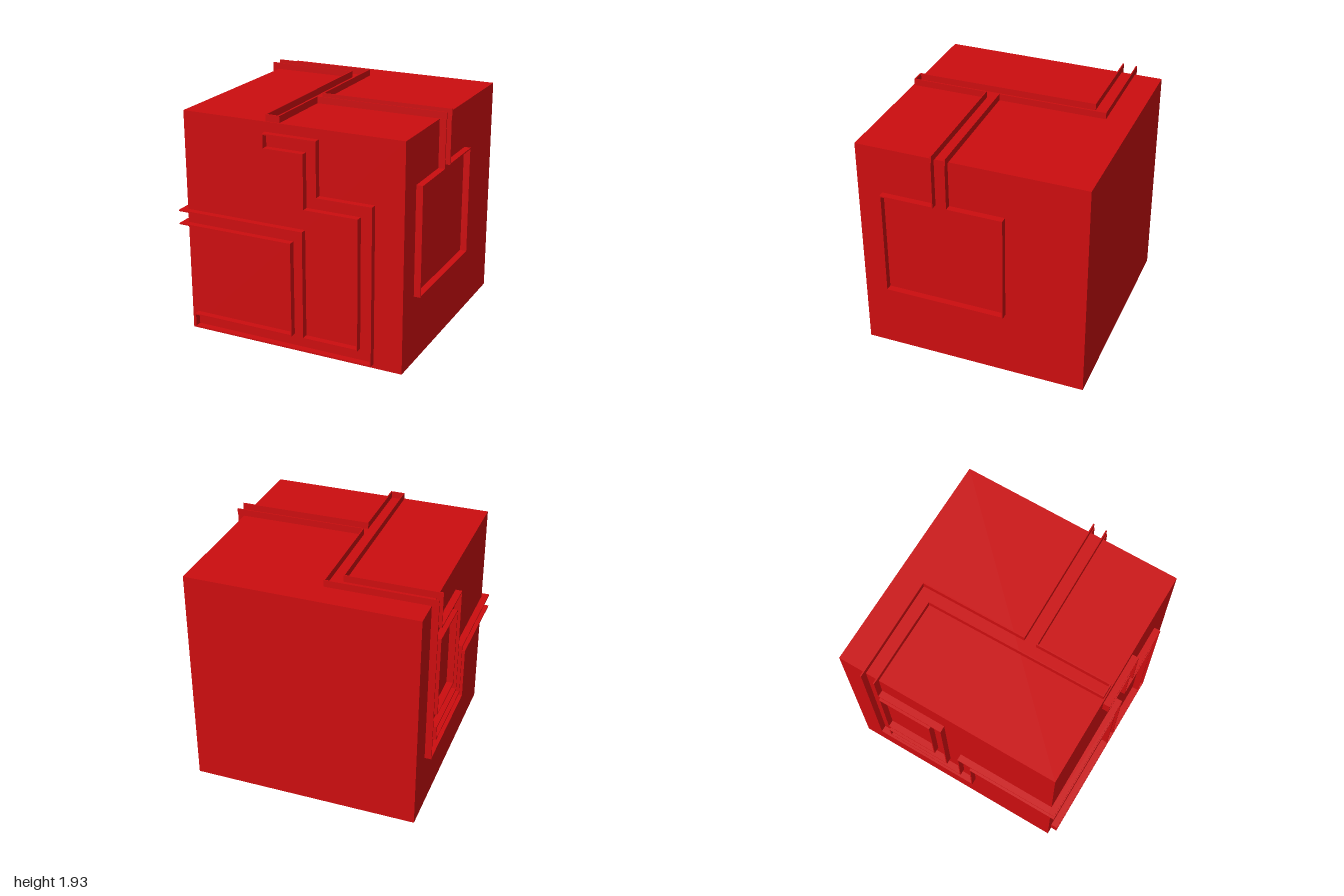
import * as THREE from 'three';

const T = 0.01;      // wall thickness
const H = 0.055;     // wall height above the cube face
const W = 1.89, CH = 1.875, ZF = 0.915, ZB = -0.975;

// Offset a polyline sideways by d, with mitred corners
function offset(pts, d, closed) {
  const n = pts.length;
  const normal = (a, b) => new THREE.Vector2(a.y - b.y, b.x - a.x).normalize();
  return pts.map((p, i) => {
    const prev = closed || i > 0 ? pts[(i + n - 1) % n] : null;
    const next = closed || i < n - 1 ? pts[(i + 1) % n] : null;
    const n1 = prev ? normal(prev, p) : normal(p, next);
    const n2 = next ? normal(p, next) : n1;
    const m = n1.clone().add(n2).normalize();
    return p.clone().addScaledVector(m, d / m.dot(n1));
  });
}

// Thin upright wall following a path on a face
function wallGeometry(path, closed) {
  const pts = path.map(([x, y]) => new THREE.Vector2(x, y));
  const a = offset(pts, T / 2, closed), b = offset(pts, -T / 2, closed);
  let shape;
  if (closed) {
    const [outer, inner] = THREE.ShapeUtils.area(pts) > 0 ? [b, a] : [a, b];
    shape = new THREE.Shape(outer);
    shape.holes.push(new THREE.Path(inner));
  } else {
    shape = new THREE.Shape([...a, ...b.reverse()]);
  }
  return new THREE.ExtrudeGeometry(shape, { depth: H, bevelEnabled: false });
}

export function createModel() {
  const model = new THREE.Group();
  const red = new THREE.MeshStandardMaterial({ color: 0xcc0d0f });
  red.name = 'red';

  const cube = new THREE.Mesh(new THREE.BoxGeometry(W, CH, ZF - ZB), red);
  cube.name = 'cube';
  cube.position.set(0, CH / 2, (ZF + ZB) / 2);
  model.add(cube);

  function addFace(name, position, rotation, walls) {
    const face = new THREE.Group();
    face.name = name;
    face.position.set(...position);
    face.rotation.set(...rotation);
    for (const [wallName, path, closed = false] of walls) {
      const mesh = new THREE.Mesh(wallGeometry(path, closed), red);
      mesh.name = wallName;
      face.add(mesh);
    }
    model.add(face);
  }

  // Front: one channel with two dead ends, running off to the -x side
  addFace('frontWalls', [0, 0, ZF], [0, 0, 0], [
    ['frontChannelWall', [
      [-1, 1.047], [0.115, 1.047], [0.115, 0.15], [0.587, 0.15], [0.587, 1.232],
      [0.13, 1.232], [0.13, 1.675], [-0.21, 1.675], [-0.21, 1.79], [0.24, 1.79],
      [0.24, 1.345], [0.703, 1.345], [0.703, 0.042], [-0.888, 0.042],
      [-0.888, 0.15], [0.01, 0.15], [0.01, 0.934], [-1, 0.934]]],
  ]);

  // Top: local y points towards the back
  addFace('topWalls', [0, CH, 0], [-Math.PI / 2, 0, 0], [
    ['topBackWall', [[-1, 0.738], [-0.113, 0.745], [-0.103, -0.155], [1, -0.14]]],
    ['topFrontWall', [
      [-1, 0.622], [-0.225, 0.624], [-0.207, -0.9], [-0.098, -0.9],
      [-0.103, -0.267], [1, -0.253]]],
  ]);

  // +x side: local x points towards the back
  addFace('leftSideWalls', [W / 2, 0, 0], [0, Math.PI / 2, 0], [
    ['squareRoomWall', [
      [-0.26, CH], [-0.26, 1.475], [-0.7, 1.475], [-0.7, 0.578],
      [0.308, 0.578], [0.308, 1.484], [-0.147, 1.484], [-0.147, CH]]],
  ]);

  // -x side: local x points towards the front
  addFace('rightSideWalls', [-W / 2, 0, 0], [0, -Math.PI / 2, 0], [
    ['outerChannelWall', [
      [-0.738, CH], [-0.738, 0.487], [0.18, 0.487], [0.18, 0.934], [ZF, 0.934]]],
    ['innerChannelWall', [
      [-0.622, CH], [-0.622, 1.635], [-0.058, 1.635], [-0.058, 0.71],
      [-0.622, 0.71], [-0.622, 0.597], [0.07, 0.597], [0.07, 1.047], [ZF, 1.047]]],
    ['islandWall', [
      [-0.622, 0.84], [-0.17, 0.84], [-0.17, 1.525], [-0.622, 1.525]], true],
  ]);

  return model;
}
